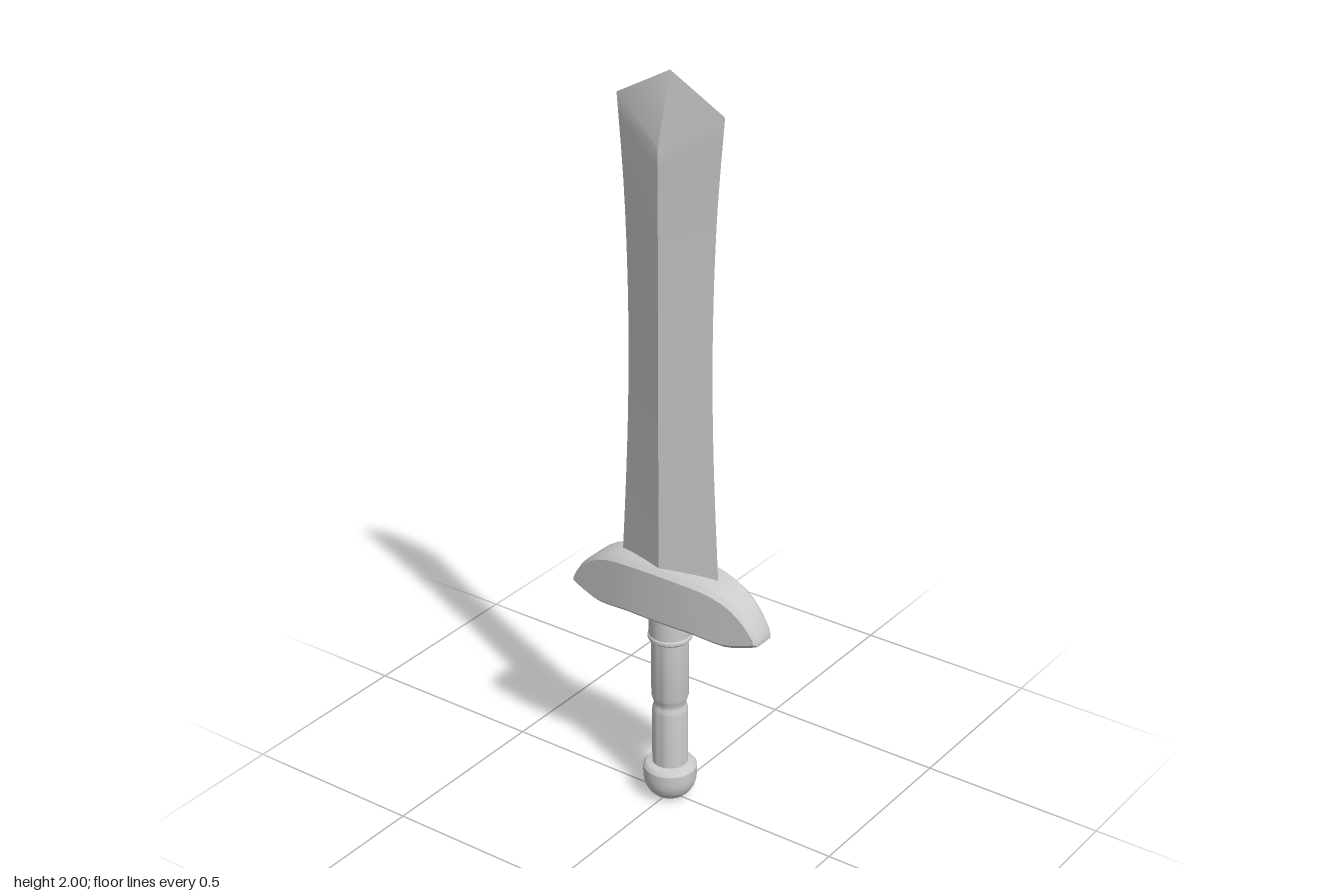
import * as THREE from 'three';
import { toCreasedNormals } from 'three/addons/utils/BufferGeometryUtils.js';

const material = new THREE.MeshStandardMaterial({ color: 0xcccccc });

// Skin a list of equal-length rings and cap both ends; collapsed triangles are skipped.
function loft(rings, crease) {
  const positions = [];
  const ab = new THREE.Vector3(), ac = new THREE.Vector3();
  const tri = (a, b, c) => {
    ab.subVectors(b, a);
    ac.subVectors(c, a);
    if (ab.cross(ac).lengthSq() > 1e-14) for (const p of [a, b, c]) positions.push(p.x, p.y, p.z);
  };
  const n = rings[0].length;
  for (let i = 0; i < rings.length - 1; i++) {
    for (let j = 0; j < n; j++) {
      const k = (j + 1) % n;
      tri(rings[i][j], rings[i][k], rings[i + 1][k]);
      tri(rings[i][j], rings[i + 1][k], rings[i + 1][j]);
    }
  }
  const first = rings[0], last = rings[rings.length - 1];
  for (let j = 1; j < n - 1; j++) {
    tri(first[0], first[j + 1], first[j]);
    tri(last[0], last[j], last[j + 1]);
  }
  const geometry = new THREE.BufferGeometry();
  geometry.setAttribute('position', new THREE.Float32BufferAttribute(positions, 3));
  return toCreasedNormals(geometry, crease);
}

const v = (x, y, z) => new THREE.Vector3(x, y, z);

// Waisted diamond blade: the ridges stop short of the edges, forming a faceted point.
function bladeGeometry() {
  const base = 0.62, edgeTop = 1.915, ridgeTop = 1.82, ridge = 0.05;
  const waist = new THREE.SplineCurve([
    [0.153, 0.62], [0.148, 0.7], [0.137, 0.9], [0.129, 1.1], [0.126, 1.3],
    [0.129, 1.5], [0.138, 1.7], [0.156, edgeTop],
  ].map(([x, y]) => new THREE.Vector2(x, y)));
  const rings = waist.getPoints(21).map(({ x, y }) => {
    const r = base + (y - base) / (edgeTop - base) * (ridgeTop - base);
    return [v(0, r, ridge), v(x, y, 0), v(0, r, -ridge), v(-x, y, 0)];
  });
  const tip = v(0, 2, 0);
  rings.push([tip, tip, tip, tip]);
  return loft(rings, 0.4);
}

// Drooping crossguard: bevelled sections swept along x, thinning towards the ends.
function guardGeometry() {
  // x, top, bottom, half depth, bevel
  const half = [
    [0, 0.701, 0.546, 0.068, 0.012],
    [0.05, 0.7, 0.546, 0.067, 0.012],
    [0.1, 0.697, 0.545, 0.064, 0.012],
    [0.135, 0.693, 0.541, 0.06, 0.012],
    [0.165, 0.686, 0.537, 0.056, 0.012],
    [0.195, 0.675, 0.535, 0.052, 0.012],
    [0.22, 0.66, 0.538, 0.048, 0.012],
    [0.24, 0.643, 0.543, 0.045, 0.012],
    [0.258, 0.624, 0.548, 0.042, 0.012],
    [0.28, 0.591, 0.556, 0.038, 0.011],
    [0.29, 0.572, 0.561, 0.028, 0.002],
  ];
  const sections = [
    ...half.slice(1).reverse().map(([x, ...rest]) => [-x, ...rest]),
    ...half,
  ];
  return loft(sections.map(([x, t, b, z, c]) => [
    v(x, t, c - z), v(x, t, z - c), v(x, t - c, z), v(x, b + c, z),
    v(x, b, z - c), v(x, b, c - z), v(x, b + c, -z), v(x, t - c, -z),
  ]), 0.55);
}

// Turned part from [radius, height] pairs listed bottom to top.
function turned(points) {
  const lathe = new THREE.LatheGeometry(points.map(([r, y]) => new THREE.Vector2(r, y)), 32);
  return toCreasedNormals(lathe, 0.55);
}

export function createModel() {
  const model = new THREE.Group();
  const add = (name, geometry) => {
    const mesh = new THREE.Mesh(geometry, material);
    mesh.name = name;
    model.add(mesh);
  };

  add('blade', bladeGeometry());
  add('crossguard', guardGeometry());

  // Collar under the guard, with a slightly wider lower lip
  add('collar', turned([
    [0, 0.475], [0.052, 0.475], [0.058, 0.481], [0.058, 0.488],
    [0.055, 0.492], [0.055, 0.56], [0, 0.56],
  ]));

  // Grip with a finger groove
  add('grip', turned([
    [0, 0.08], [0.047, 0.08], [0.047, 0.262], [0.046, 0.27], [0.042, 0.278],
    [0.042, 0.286], [0.046, 0.298], [0.049, 0.308], [0.049, 0.49], [0, 0.49],
  ]));

  // Rounded pommel with a flat foot and bevelled rim
  add('pommel', turned([
    [0, 0], [0.03, 0.001], [0.045, 0.009], [0.057, 0.021], [0.065, 0.035],
    [0.07, 0.052], [0.071, 0.068], [0.071, 0.09], [0.064, 0.099], [0.045, 0.105], [0, 0.105],
  ]));

  return model;
}
